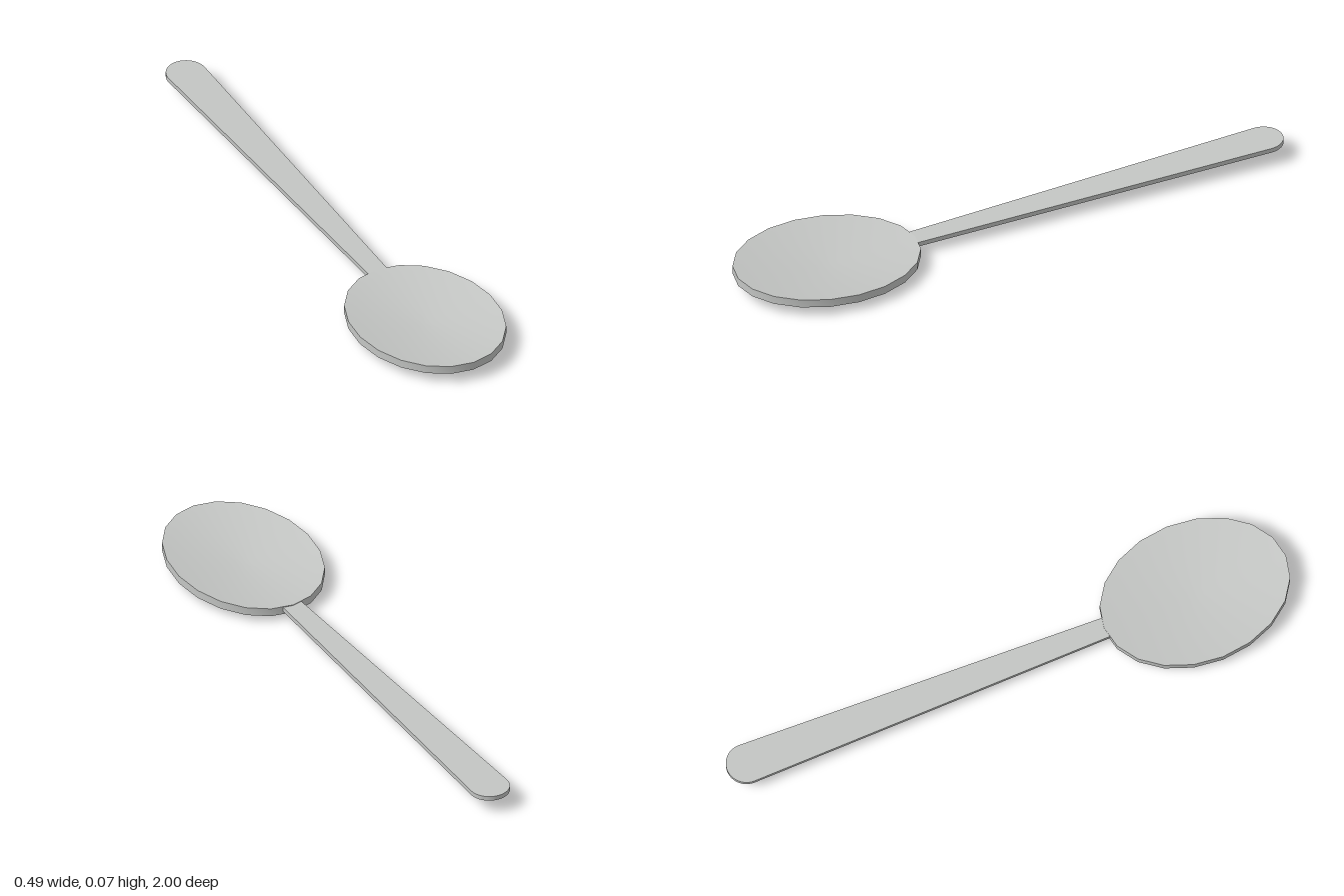
import * as THREE from 'three';
import { toCreasedNormals } from 'three/addons/utils/BufferGeometryUtils.js';

const metal = new THREE.MeshStandardMaterial({ color: 0xc4c6c4 });
metal.name = 'brushed metal';

// Bowl: a shallow dished lathe, stretched to an oval and tilted up at the front
function makeBowl() {
  const rx = 0.247, rz = 0.325, centreZ = 0.67, depth = 0.029, wall = 0.029, tilt = 0.032;
  const rings = 10;
  const dish = (r) => depth * Math.pow(r, 1.6);
  const profile = [];
  for (let i = 0; i <= rings; i++) profile.push(new THREE.Vector2(i / rings, dish(i / rings)));
  for (let i = rings; i >= 0; i--) profile.push(new THREE.Vector2(i / rings, dish(i / rings) + wall));

  const geometry = new THREE.LatheGeometry(profile, 20);
  geometry.scale(rx, 1, rz);
  const p = geometry.attributes.position;
  for (let i = 0; i < p.count; i++) p.setY(i, p.getY(i) + 0.001 + tilt * p.getZ(i));
  geometry.translate(0, 0, centreZ);

  const bowl = new THREE.Mesh(toCreasedNormals(geometry, 0.5), metal);
  bowl.name = 'bowl';
  return bowl;
}

// Handle: a flat strip that widens to a rounded tip and rises gently to the back
function makeHandle() {
  const neckZ = 0.36, tipZ = -1, neck = 0.035, tip = 0.068, thickness = 0.016;
  const shape = new THREE.Shape();
  // shape y is -z
  shape.moveTo(-neck, -neckZ);
  shape.lineTo(neck, -neckZ);
  shape.lineTo(tip, -tipZ - tip);
  shape.absarc(0, -tipZ - tip, tip, 0, Math.PI, false);
  shape.closePath();

  const geometry = new THREE.ExtrudeGeometry(shape, { depth: thickness, bevelEnabled: false, curveSegments: 12 });
  geometry.rotateX(-Math.PI / 2);
  const p = geometry.attributes.position;
  for (let i = 0; i < p.count; i++) {
    const t = (neckZ - p.getZ(i)) / (neckZ - tipZ);
    p.setY(i, p.getY(i) + 0.03 + 0.021 * t);
  }
  const handle = new THREE.Mesh(toCreasedNormals(geometry, 0.5), metal);
  handle.name = 'handle';
  return handle;
}

export function createModel() {
  const spoon = new THREE.Group();
  spoon.name = 'spoon';
  spoon.add(makeBowl(), makeHandle());
  return spoon;
}
